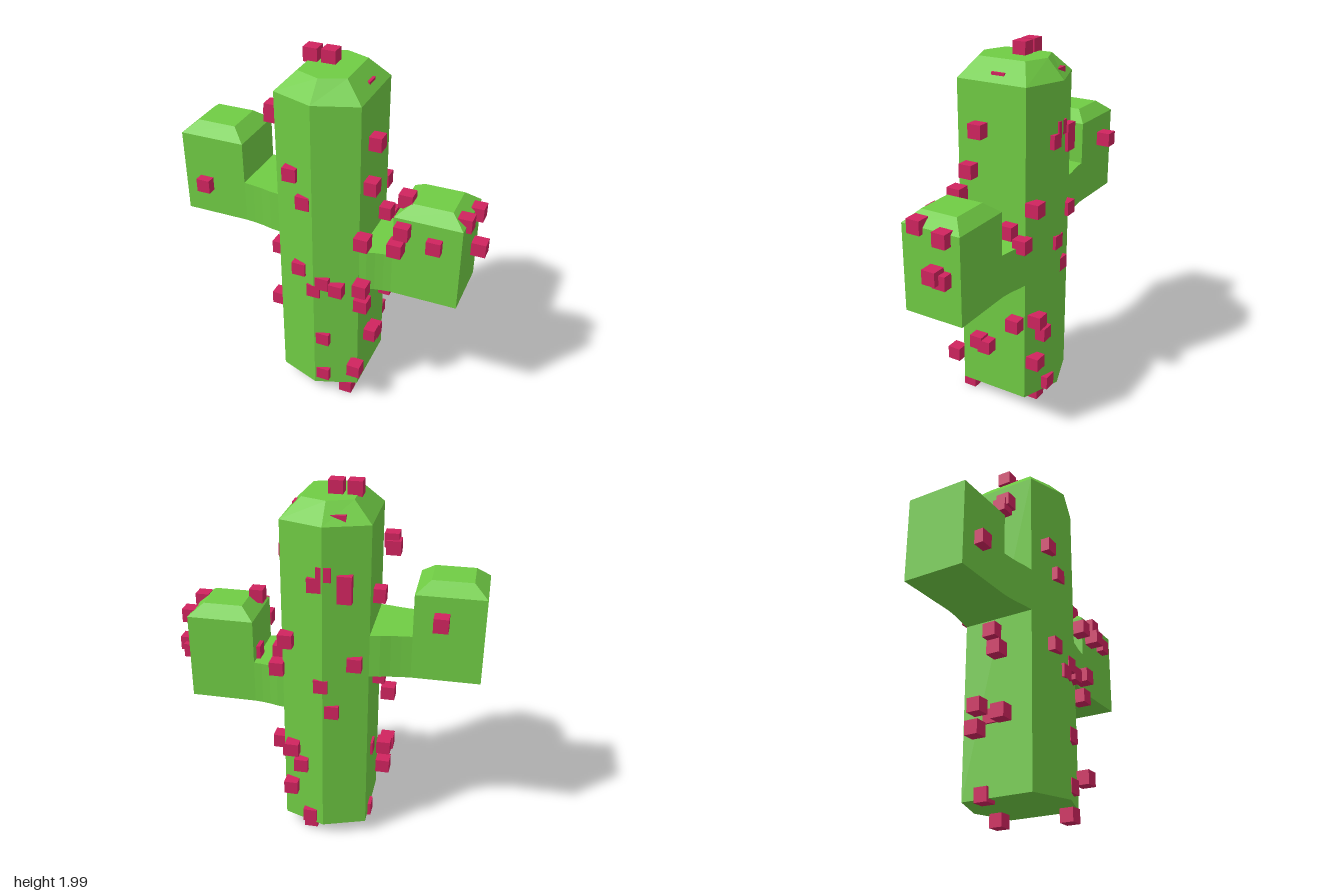
import * as THREE from 'three';

const green = new THREE.MeshStandardMaterial({ color: 0x70cc44, flatShading: true });
const pink = new THREE.MeshStandardMaterial({ color: 0xd0245f, flatShading: true });

// Closed solid through equal-length rings of [x, y, z], stacked upwards
function loft(rings) {
  const pos = [];
  const tri = (a, b, c) => pos.push(...a, ...b, ...c);
  const n = rings[0].length;
  for (let r = 0; r < rings.length - 1; r++) {
    for (let i = 0; i < n; i++) {
      const j = (i + 1) % n, lo = rings[r], hi = rings[r + 1];
      tri(lo[i], lo[j], hi[j]);
      tri(lo[i], hi[j], hi[i]);
    }
  }
  const bottom = rings[0], top = rings[rings.length - 1];
  for (let i = 1; i < n - 1; i++) {
    tri(bottom[0], bottom[i + 1], bottom[i]);
    tri(top[0], top[i], top[i + 1]);
  }
  const g = new THREE.BufferGeometry();
  g.setAttribute('position', new THREE.Float32BufferAttribute(pos, 3));
  g.computeVertexNormals();
  return g;
}

// Six-sided trunk outline: half width, corner depth, middle depth
const hexRing = (y, w, d, m) =>
  [[-w, d], [0, m], [w, d], [w, -d], [0, -m], [-w, -d]].map(([x, z]) => [x - 0.022, y, z]);

// Rectangular arm outline
const boxRing = (y, cx, w, d) =>
  [[-w, d], [w, d], [w, -d], [-w, -d]].map(([x, z]) => [cx + x, y, z]);

// Arm: upright block with bevelled top, joined to the trunk by a flaring bridge
function makeArm(name, cx, y0, yShoulder, yTop, bridgeHeight) {
  const arm = new THREE.Group();
  arm.name = name;
  const block = new THREE.Mesh(loft([
    boxRing(y0, cx, 0.178, 0.168),
    boxRing(yShoulder, cx, 0.178, 0.168),
    boxRing(yTop, cx, 0.105, 0.103),
  ]), green);
  block.name = name + 'Block';

  const side = Math.sign(cx);
  const start = side > 0 ? 0.2 : -0.25;
  const end = cx - side * 0.178;
  const flare = [[0, 0.2], [0.25, 0.193], [0.5, 0.181], [0.75, 0.173], [1, 0.168]]
    .map(([t, z]) => [start + (end - start) * t, z]);
  const outline = [[start - side * 0.1, 0.2], ...flare];
  const points = [...outline, ...outline.map(([x, z]) => [x, -z]).reverse()]
    .map(([x, z]) => new THREE.Vector2(x, z));
  const geo = new THREE.ExtrudeGeometry(new THREE.Shape(points), { depth: bridgeHeight, bevelEnabled: false });
  geo.rotateX(-Math.PI / 2).translate(0, y0, 0);
  const bridge = new THREE.Mesh(geo, green);
  bridge.name = name + 'Bridge';
  arm.add(block, bridge);
  return arm;
}

// Centres of the cube spines, by the part they sit on
const spines = {
  top: [[-0.14, 1.96, -0.025], [-0.045, 1.96, -0.028], [0.138, 1.838, -0.02], [-0.09, 1.838, -0.19]],
  bottom: [[0.14, 0.045, 0.185], [0.06, 0.045, -0.18], [-0.23, 0.1, -0.08]],
  front: [[-0.15, 1.425, 0.235], [-0.077, 1.28, 0.243], [-0.11, 0.86, 0.24], [0.025, 0.8, 0.243],
    [0.1, 0.77, 0.24], [-0.025, 0.74, 0.243], [0.025, 0.415, 0.243], [0.025, 0.155, 0.243]],
  back: [[-0.027, 1.59, -0.24], [0.02, 1.53, -0.24], [-0.13, 1.55, -0.235], [-0.13, 1.48, -0.235],
    [0.175, 1.21, -0.24], [-0.18, 1.1, -0.22], [-0.01, 0.97, -0.243], [-0.067, 0.82, -0.24],
    [0.15, 0.56, -0.245], [0.1, 0.465, -0.245], [0.16, 0.305, -0.24], [0.053, 0.13, -0.24]],
  leftSide: [[0.235, 1.59, 0.06], [0.235, 1.37, 0.12], [0.235, 1.1, 0.23], [0.235, 1.085, -0.12],
    [0.235, 1.025, -0.2], [0.235, 0.81, 0.24], [0.235, 0.695, 0.22], [0.235, 0.55, -0.155],
    [0.235, 0.38, 0.075], [0.235, 0.365, 0.025], [0.21, 0.24, 0.243]],
  rightSide: [[-0.325, 1.64, 0.065], [-0.313, 1.675, 0.08], [-0.275, 1.435, -0.08], [-0.275, 0.94, -0.02],
    [-0.325, 0.81, 0.04], [-0.325, 0.525, -0.07], [-0.325, 0.47, 0.07], [-0.325, 0.41, -0.08],
    [-0.225, 0.49, -0.04]],
  leftArm: [[0.41, 1.31, 0.07], [0.43, 1.195, 0.19], [0.41, 1.11, 0.225], [0.595, 1.14, 0.172],
    [0.39, 1.05, -0.08], [0.72, 1.255, 0.08], [0.74, 1.23, -0.08], [0.777, 1.045, -0.042], [0.747, 1.02, -0.077]],
  rightArm: [[-0.69, 1.205, 0.18], [-0.605, 1.375, -0.243]],
};

export function createModel() {
  const model = new THREE.Group();
  model.name = 'cactus';

  // Trunk with bevelled crown
  const trunk = new THREE.Mesh(loft([
    hexRing(0.08, 0.228, 0.2, 0.28),
    hexRing(1.83, 0.228, 0.2, 0.28),
    hexRing(1.93, 0.13, 0.135, 0.187),
  ]), green);
  trunk.name = 'trunk';
  model.add(trunk);

  model.add(makeArm('leftArm', 0.552, 0.78, 1.25, 1.31, 0.235));
  model.add(makeArm('rightArm', -0.64, 1.02, 1.48, 1.54, 0.233));

  // Spines
  const cube = new THREE.BoxGeometry(0.075, 0.075, 0.075);
  for (const [part, centres] of Object.entries(spines)) {
    const group = new THREE.Group();
    group.name = part + 'Spines';
    for (const c of centres) {
      const spine = new THREE.Mesh(cube, pink);
      spine.name = 'spine';
      spine.position.set(...c);
      group.add(spine);
    }
    model.add(group);
  }
  return model;
}
